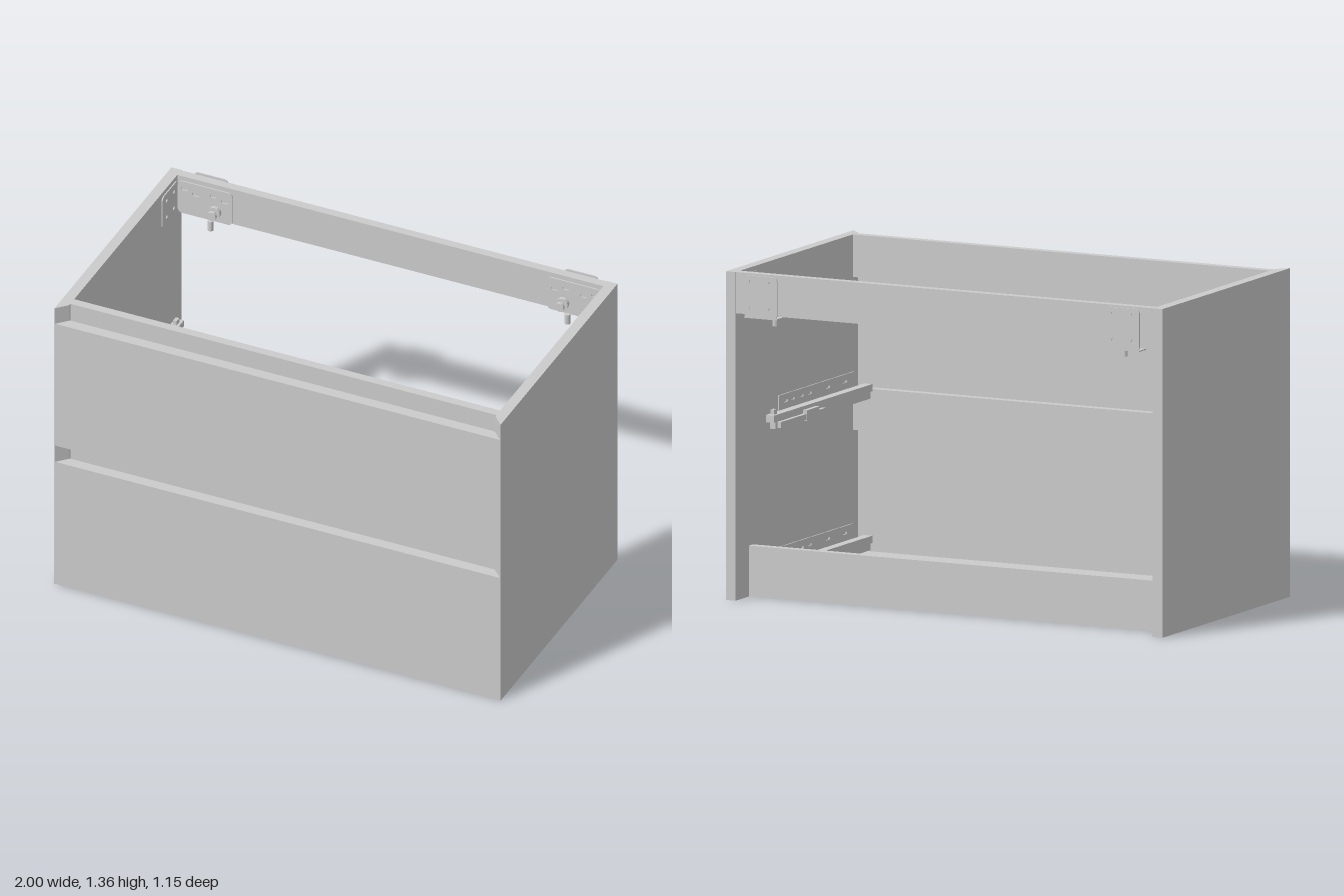
import * as THREE from 'three';

const grey = new THREE.MeshStandardMaterial({ color: 0xcccccc, flatShading: true });
const H = 1.355;      // cabinet height
const T = 0.045;      // panel thickness

function add(parent, name, geometry) {
  const mesh = new THREE.Mesh(geometry, grey);
  mesh.name = name;
  parent.add(mesh);
  return mesh;
}

// Box given by its two extreme corners on each axis
function box(parent, name, x0, x1, y0, y1, z0, z1) {
  const g = new THREE.BoxGeometry(Math.abs(x1 - x0), y1 - y0, z1 - z0);
  g.translate((x0 + x1) / 2, (y0 + y1) / 2, (z0 + z1) / 2);
  return add(parent, name, g);
}

// Upright prism from a plan outline of [x, z] points
function prism(parent, name, plan, y0, y1) {
  const shape = new THREE.Shape(plan.map(([x, z]) => new THREE.Vector2(x, -z)));
  const g = new THREE.ExtrudeGeometry(shape, { depth: y1 - y0, bevelEnabled: false });
  g.rotateX(-Math.PI / 2).translate(0, y0, 0);
  return add(parent, name, g);
}

// Thin sheet with rounded corners and slots [u, v, width, height]
function sheet(u0, u1, v0, v1, thickness, radius, slots) {
  const round = (path, a, b, c, d, r) => {
    path.moveTo(a + r, c).lineTo(b - r, c).absarc(b - r, c + r, r, -Math.PI / 2, 0);
    path.lineTo(b, d - r).absarc(b - r, d - r, r, 0, Math.PI / 2);
    path.lineTo(a + r, d).absarc(a + r, d - r, r, Math.PI / 2, Math.PI);
    path.lineTo(a, c + r).absarc(a + r, c + r, r, Math.PI, Math.PI * 1.5);
    return path;
  };
  const shape = round(new THREE.Shape(), u0, u1, v0, v1, radius);
  for (const [u, v, w, h] of slots) {
    shape.holes.push(round(new THREE.Path(), u - w / 2, u + w / 2, v - h / 2, v + h / 2, Math.min(w, h) * 0.49));
  }
  return new THREE.ExtrudeGeometry(shape, { depth: thickness, bevelEnabled: false, curveSegments: 5 });
}

// Cylinder lying along z
function pin(parent, name, x, y, z0, z1, r) {
  const g = new THREE.CylinderGeometry(r, r, z1 - z0, 12);
  g.rotateX(Math.PI / 2).translate(x, y, (z0 + z1) / 2);
  return add(parent, name, g);
}

function runner(s, y) {
  const g = new THREE.Group();
  g.name = 'drawerRunner';
  const slots = [-0.09, -0.03, 0.03, 0.09];
  // slotted wall plate and its foot
  const plate = sheet(-0.18, 0.48, y, y + 0.09, 0.005, 0.004,
    [-0.12, -0.06, 0.02, 0.09, 0.25, 0.4].map(z => [z, y + 0.062, 0.035, 0.014]));
  add(g, 'wallPlate', plate.rotateY(-Math.PI / 2).translate(s > 0 ? 0.955 : -0.95, 0, 0));
  const a = Math.min(s * 0.91, s * 0.95), b = Math.max(s * 0.91, s * 0.95);
  const foot = sheet(a, b, -0.48, 0.18, 0.005, 0.003,
    slots.map((z, i) => [s * 0.93, -z, 0.02, i % 3 ? 0.03 : 0.05]));
  add(g, 'foot', foot.rotateX(-Math.PI / 2).translate(0, y, 0));
  // stacked sliding rails
  box(g, 'outerRail', s * 0.866, s * 0.904, y + 0.015, y + 0.045, -0.385, 0.48);
  box(g, 'innerRail', s * 0.873, s * 0.897, y - 0.015, y + 0.015, -0.36, 0.48);
  box(g, 'railLink', s * 0.89, s * 0.915, y - 0.005, y + 0.005, -0.18, 0.48);
  // latch, roller housing and rear hook
  box(g, 'latchBar', s * 0.85, s * 0.866, y - 0.01, y + 0.015, -0.355, 0.04);
  box(g, 'rollerHousing', s * 0.847, s * 0.866, y - 0.015, y + 0.03, -0.13, -0.02);
  box(g, 'rearHook', s * 0.877, s * 0.893, y + 0.045, y + 0.065, -0.365, -0.34);
  return g;
}

function hanger(s) {
  const g = new THREE.Group();
  g.name = 'wallHanger';
  const span = (p, q) => [Math.min(s * p, s * q), Math.max(s * p, s * q)];
  // rear hanging plate with its lower lip
  const [a, b] = span(0.755, 0.905);
  const rear = sheet(a, b, 1.175, 1.35, 0.005, 0.018,
    [[a + 0.03, 1.325], [b - 0.03, 1.325], [a + 0.03, 1.215], [b - 0.03, 1.215]].map(p => [...p, 0.015, 0.015]));
  add(g, 'rearPlate', rear.translate(0, 0, -0.574));
  box(g, 'lowerLip', a, b, 1.174, 1.179, -0.574, -0.515);
  // plate fixed to the inside of the back rail
  const [c, d] = span(0.705, 0.95);
  const inner = sheet(c, d, 1.18, 1.335, 0.006, 0.02,
    [0.74, 0.79, 0.87, 0.92].map((x, i) => [s * x, i % 2 ? 1.3 : 1.285, 0.03, 0.014]));
  add(g, 'innerPlate', inner.translate(0, 0, -0.512));
  // plate fixed to the side panel
  const side = sheet(-0.51, -0.36, 1.18, 1.335, 0.005, 0.02,
    [[-0.47, 1.3], [-0.4, 1.3], [-0.47, 1.22], [-0.4, 1.22]].map(p => [...p, 0.016, 0.016]));
  add(g, 'sidePlate', side.rotateY(-Math.PI / 2).translate(s > 0 ? 0.955 : -0.95, 0, 0));
  // adjusting screws
  pin(g, 'adjusterShaft', s * 0.78, 1.23, -0.507, -0.465, 0.01);
  pin(g, 'adjusterHead', s * 0.78, 1.23, -0.475, -0.462, 0.02);
  pin(g, 'adjusterCollar', s * 0.78, 1.23, -0.507, -0.49, 0.026);
  const screw = new THREE.CylinderGeometry(0.012, 0.012, 0.045, 12);
  add(g, 'heightScrew', screw.translate(s * 0.8, 1.16, -0.5));
  return g;
}

export function createModel() {
  const model = new THREE.Group();
  model.name = 'vanityCabinet';

  // Side panels, mitred at the front, with their fittings
  for (const s of [1, -1]) {
    prism(model, s > 0 ? 'leftSide' : 'rightSide',
      [[s, -0.553], [s, 0.574], [s * (1 - T), 0.527], [s * (1 - T), -0.553]], 0, H);
    for (const y of [0.075, 0.7]) model.add(runner(s, y));
    model.add(hanger(s));
  }

  // Drawer fronts with mitred ends
  for (const [name, y0, y1] of [['lowerFront', 0.003, 0.602], ['upperFront', 0.682, 1.28]]) {
    prism(model, name, [[-0.997, 0.574], [0.997, 0.574], [0.952, 0.527], [-0.952, 0.527]], y0, y1);
  }

  // Cross rails behind the finger grooves, back rail, floor and low back board
  const w = 1 - T;
  box(model, 'topFrontRail', -w, w, 1.18, H, 0.48, 0.517);
  box(model, 'middleFrontRail', -w, w, 0.55, 0.725, 0.48, 0.517);
  box(model, 'topBackRail', -w, w, 1.185, H, -0.55, -0.513);
  box(model, 'floor', -w, w, 0.001, 0.048, -0.4, 0.517);
  box(model, 'lowBackBoard', -w, w, 0.001, 0.21, -0.436, -0.4);

  return model;
}
